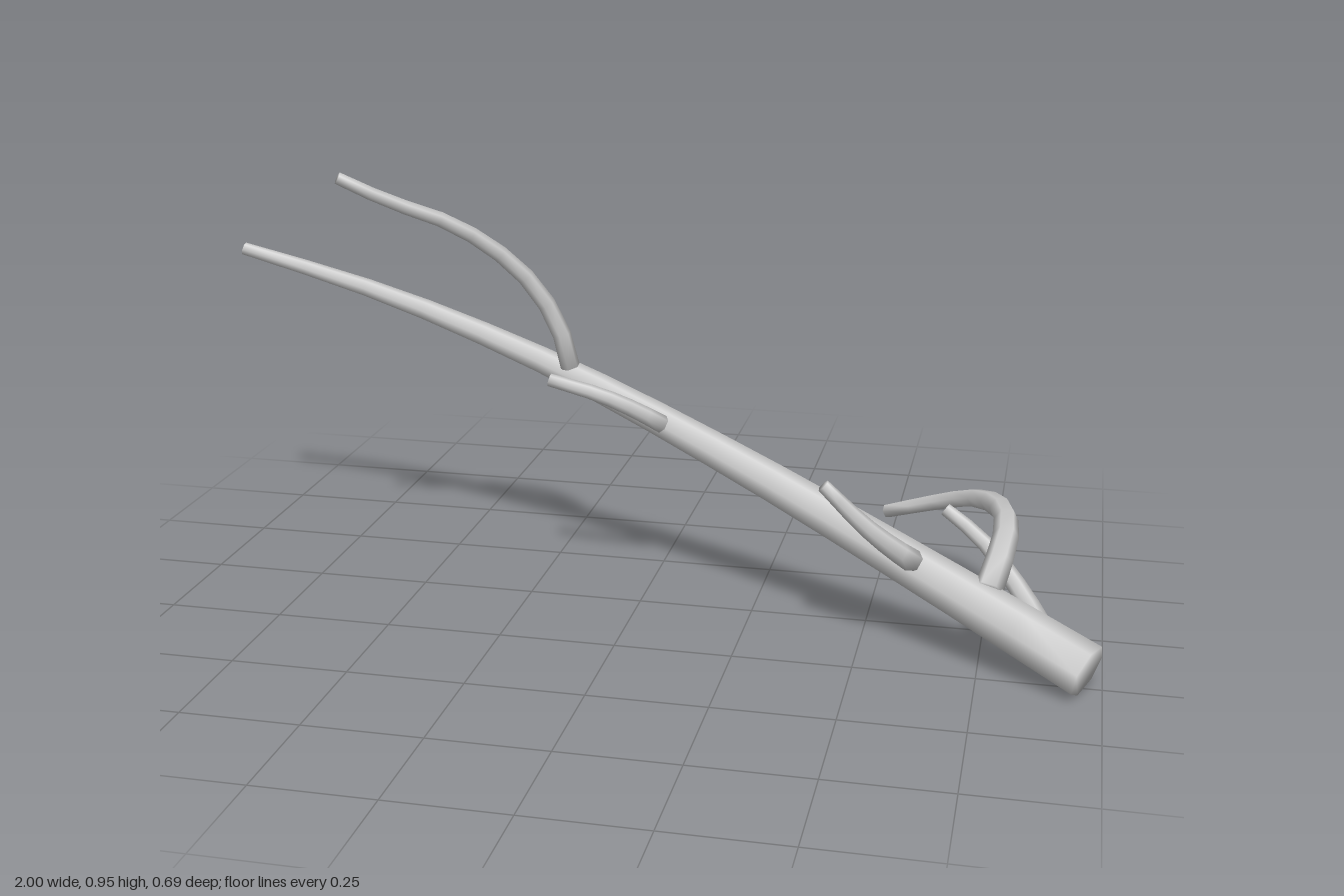
import * as THREE from 'three';

// Tapered limb swept along a smooth curve, closed at both ends, smooth normals throughout
function limbGeometry(points, r0, r1, segments, sides) {
  const curve = new THREE.CatmullRomCurve3(points.map(p => new THREE.Vector3(...p)));
  const { normals, binormals } = curve.computeFrenetFrames(segments, false);
  const pos = [], index = [];
  for (let i = 0; i <= segments; i++) {
    const c = curve.getPointAt(i / segments);
    const r = THREE.MathUtils.lerp(r0, r1, i / segments);
    for (let j = 0; j < sides; j++) {
      const a = (j / sides) * Math.PI * 2;
      const p = c.clone()
        .addScaledVector(normals[i], Math.cos(a) * r)
        .addScaledVector(binormals[i], Math.sin(a) * r);
      pos.push(p.x, p.y, p.z);
    }
  }
  for (let i = 0; i < segments; i++) {
    for (let j = 0; j < sides; j++) {
      const a = i * sides + j, b = i * sides + (j + 1) % sides;
      index.push(a, b, b + sides, a, b + sides, a + sides);
    }
  }
  // End caps share the rim vertices, so the shading rolls over the ends
  const last = segments * sides;
  for (let j = 1; j < sides - 1; j++) {
    index.push(0, j + 1, j, last, last + j, last + j + 1);
  }
  const g = new THREE.BufferGeometry();
  g.setAttribute('position', new THREE.Float32BufferAttribute(pos, 3));
  g.setIndex(index);
  g.computeVertexNormals();
  return g;
}

export function createModel() {
  const group = new THREE.Group();
  group.name = 'branch';
  const bark = new THREE.MeshStandardMaterial({ color: 0xcccccc });
  bark.name = 'light grey bark';

  const limbs = [
    // Main stem, thick end to thin tip
    { name: 'mainStem', r: [0.058, 0.015], segments: 14, sides: 7, points: [
      [0.968, 0.058, 0.293], [0.6, 0.188, 0.122], [0.2, 0.337, -0.025], [-0.2, 0.477, -0.145],
      [-0.6, 0.598, -0.222], [-0.82, 0.656, -0.237], [-0.998, 0.705, -0.225]] },
    // Long upper twig
    { name: 'upperTwig', r: [0.022, 0.013], segments: 9, sides: 6, points: [
      [-0.19, 0.495, -0.132], [-0.215, 0.6, -0.115], [-0.275, 0.705, -0.085], [-0.35, 0.785, -0.04],
      [-0.43, 0.843, 0.01], [-0.53, 0.89, 0.065], [-0.627, 0.945, 0.112]] },
    // Short twigs on the front side
    { name: 'middleTwig', r: [0.02, 0.014], segments: 6, sides: 6, points: [
      [0.04, 0.402, -0.045], [-0.02, 0.445, -0.008], [-0.09, 0.478, 0.012], [-0.198, 0.505, 0.016]] },
    { name: 'lowerTwig', r: [0.025, 0.014], segments: 6, sides: 6, points: [
      [0.61, 0.208, 0.158], [0.565, 0.25, 0.192], [0.51, 0.3, 0.213], [0.428, 0.382, 0.225]] },
    // Twigs arching to the back near the thick end
    { name: 'hookedTwig', r: [0.03, 0.016], segments: 10, sides: 6, points: [
      [0.765, 0.17, 0.178], [0.783, 0.225, 0.125], [0.79, 0.25, 0.06], [0.783, 0.261, -0.02],
      [0.755, 0.255, -0.11], [0.71, 0.235, -0.19], [0.63, 0.193, -0.268], [0.507, 0.138, -0.332]] },
    { name: 'rearTwig', r: [0.027, 0.014], segments: 8, sides: 6, points: [
      [0.89, 0.068, 0.225], [0.873, 0.073, 0.125], [0.84, 0.102, 0.06], [0.79, 0.152, 0.008],
      [0.732, 0.204, -0.028], [0.657, 0.255, -0.046]] },
  ];

  for (const { name, r, segments, sides, points } of limbs) {
    const mesh = new THREE.Mesh(limbGeometry(points, r[0], r[1], segments, sides), bark);
    mesh.name = name;
    group.add(mesh);
  }
  return group;
}
